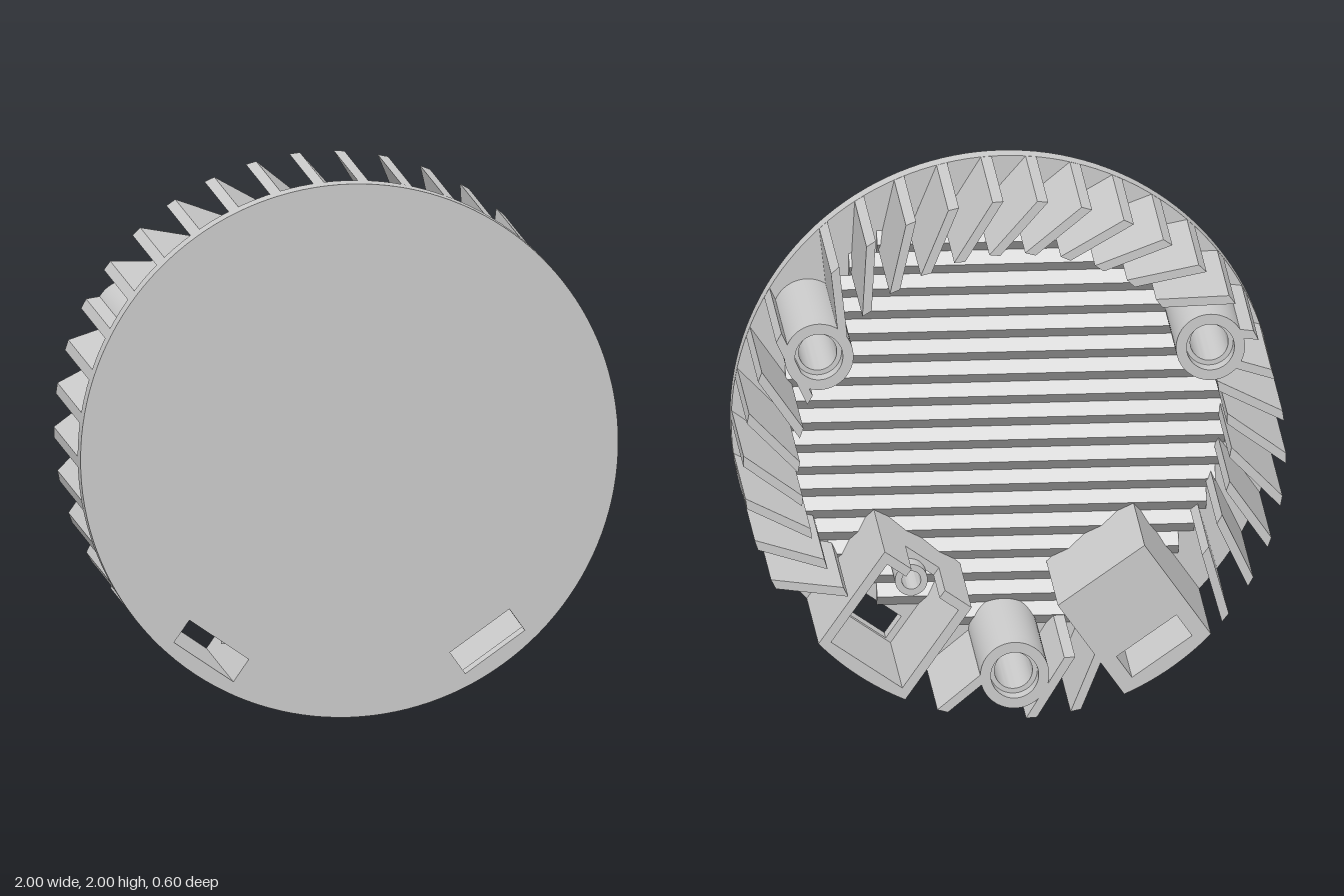
import * as THREE from 'three';
import { toCreasedNormals } from 'three/addons/utils/BufferGeometryUtils.js';

const BACK = -0.3, FLOOR = 0.235, FRONT = 0.3;
const rad = THREE.MathUtils.degToRad;

export function createModel() {
  const model = new THREE.Group();
  model.name = 'finnedCover';
  const body = new THREE.Group();
  body.name = 'body';
  body.position.y = 1;
  model.add(body);
  const grey = new THREE.MeshStandardMaterial({ color: 0xcccccc });
  grey.name = 'grey';

  const poly = (pts) => new THREE.Shape(pts.map(([x, y]) => new THREE.Vector2(x, y)));
  const circle = (r, path = new THREE.Shape()) => path.absarc(0, 0, r, 0, Math.PI * 2, false);
  const extrude = (shape, z0, z1, segments = 32) => {
    const g = new THREE.ExtrudeGeometry(shape, { depth: z1 - z0, bevelEnabled: false, curveSegments: segments });
    g.translate(0, 0, z0);
    return toCreasedNormals(g, rad(30));
  };
  const add = (name, geometry, parent = body) => {
    const m = new THREE.Mesh(geometry, grey);
    m.name = name;
    parent.add(m);
    return m;
  };

  // Slot outline in a radial frame turned to the given angle
  const slotCorners = (angle) => [[0.845, -0.135], [0.945, -0.135], [0.945, 0.135], [0.845, 0.135]]
    .map(([x, y]) => new THREE.Vector2(x, y).rotateAround(new THREE.Vector2(), rad(angle)));
  const LATCH = [-55, -125];

  // Front disc with two slots
  const disc = circle(1);
  LATCH.forEach((a) => disc.holes.push(new THREE.Path(slotCorners(a))));
  add('frontDisc', extrude(disc, FLOOR, FRONT, 72));

  // Horizontal V-shaped ridges on the inner floor
  const PITCH = 0.085;
  const ridge = poly([[0, -PITCH / 2], [0.04, 0], [0, PITCH / 2]]);
  for (let i = -9; i <= 9; i++) {
    const y = i * PITCH;
    const half = Math.sqrt(0.83 ** 2 - y * y) - 0.01;
    const rib = add('floorRidge', extrude(ridge, -half, half));
    rib.position.set(0, y, FLOOR);
    rib.rotation.y = Math.PI / 2;
  }

  // Three hollow screw posts with a counterbore
  const posts = [30, 150, 270].map((a) => new THREE.Vector2(Math.cos(rad(a)), Math.sin(rad(a))).multiplyScalar(0.832));
  const ring = (outer, inner) => {
    const s = circle(outer);
    s.holes.push(circle(inner, new THREE.Path()));
    return s;
  };
  for (const p of posts) {
    const post = new THREE.Group();
    post.name = 'screwPost';
    post.position.set(p.x, p.y, 0);
    add('postCounterbore', extrude(ring(0.127, 0.088), BACK, BACK + 0.06), post);
    add('postTube', extrude(ring(0.127, 0.07), BACK + 0.06, FLOOR), post);
    body.add(post);
  }

  // Swept cooling fins, cut short where they run into a post
  const TILT = rad(35), LENGTH = 0.27, H = 0.02, MISSING = [4, 29];
  const finGeometry = (length) => {
    const x = 1 - length * Math.cos(TILT), y = -length * Math.sin(TILT);
    return extrude(poly([[x, y - H], [0.999, -H], [0.999, H], [x, y + H]]), BACK, FLOOR);
  };
  for (let k = 0; k < 38; k++) {
    const deg = 1.2 + k * 360 / 38;
    const inLatch = LATCH.some((l) => deg - l - 360 > -14 && deg - l - 360 < 20);
    if (inLatch || MISSING.includes(k)) continue;
    const a = rad(deg);
    const tip = new THREE.Vector2(Math.cos(a), Math.sin(a));
    const inward = new THREE.Vector2(-Math.cos(a + TILT), -Math.sin(a + TILT));
    let length = LENGTH;
    for (const p of posts) {
      const v = p.clone().sub(tip);
      const off = v.cross(inward);
      if (Math.abs(off) < 0.09) length = Math.min(length, Math.abs(v.dot(inward)) - Math.sqrt(0.108 ** 2 - off * off));
    }
    add('coolingFin', finGeometry(length)).rotation.z = a;
  }

  // Frames for the two latch boxes: local x points outward
  const [openBox, solidBox] = LATCH.map((a, i) => {
    const g = new THREE.Group();
    g.name = i ? 'solidLatchBox' : 'openLatchBox';
    g.rotation.z = rad(a);
    body.add(g);
    return g;
  });
  const W = 0.195, EDGE = Math.asin(W), INNER = 0.555, WALL = 0.035;

  // Block outline from a given inner radius to the curved rim
  const rimBlock = (x) => {
    const s = new THREE.Shape();
    s.moveTo(x, -W);
    s.lineTo(Math.cos(EDGE), -W);
    s.absarc(0, 0, 1, -EDGE, EDGE, false);
    s.lineTo(x, W);
    s.closePath();
    return s;
  };

  // Solid latch box with the slot running through it
  const block = rimBlock(INNER);
  block.holes.push(new THREE.Path(slotCorners(0)));
  add('latchBlock', extrude(block, BACK, FLOOR), solidBox);

  // Open latch box: curved outer wall and two side walls
  add('latchOuterWall', extrude(rimBlock(0.95), BACK, FLOOR), openBox);
  for (const s of [-1, 1]) {
    const side = add('latchSideWall', new THREE.BoxGeometry(0.98 - INNER, WALL, FLOOR - BACK), openBox);
    side.position.set((0.98 + INNER) / 2, s * (W - WALL / 2), (FLOOR + BACK) / 2);
  }

  // Inner wall with a central notch, drawn across (x) and along the depth (y)
  const notched = poly([[-W, FLOOR], [-W, BACK], [-0.075, BACK], [-0.075, -0.03],
    [0.075, -0.03], [0.075, BACK], [W, BACK], [W, FLOOR]]);
  const innerWall = extrude(notched, 0, WALL);
  innerWall.rotateX(Math.PI / 2);
  innerWall.rotateZ(Math.PI / 2);
  add('latchInnerWall', innerWall, openBox).position.x = INNER;

  // Guide tube behind the notch
  add('guideTube', extrude(ring(0.06, 0.035), -0.1, FLOOR), openBox).position.x = INNER + 0.08;

  return model;
}
